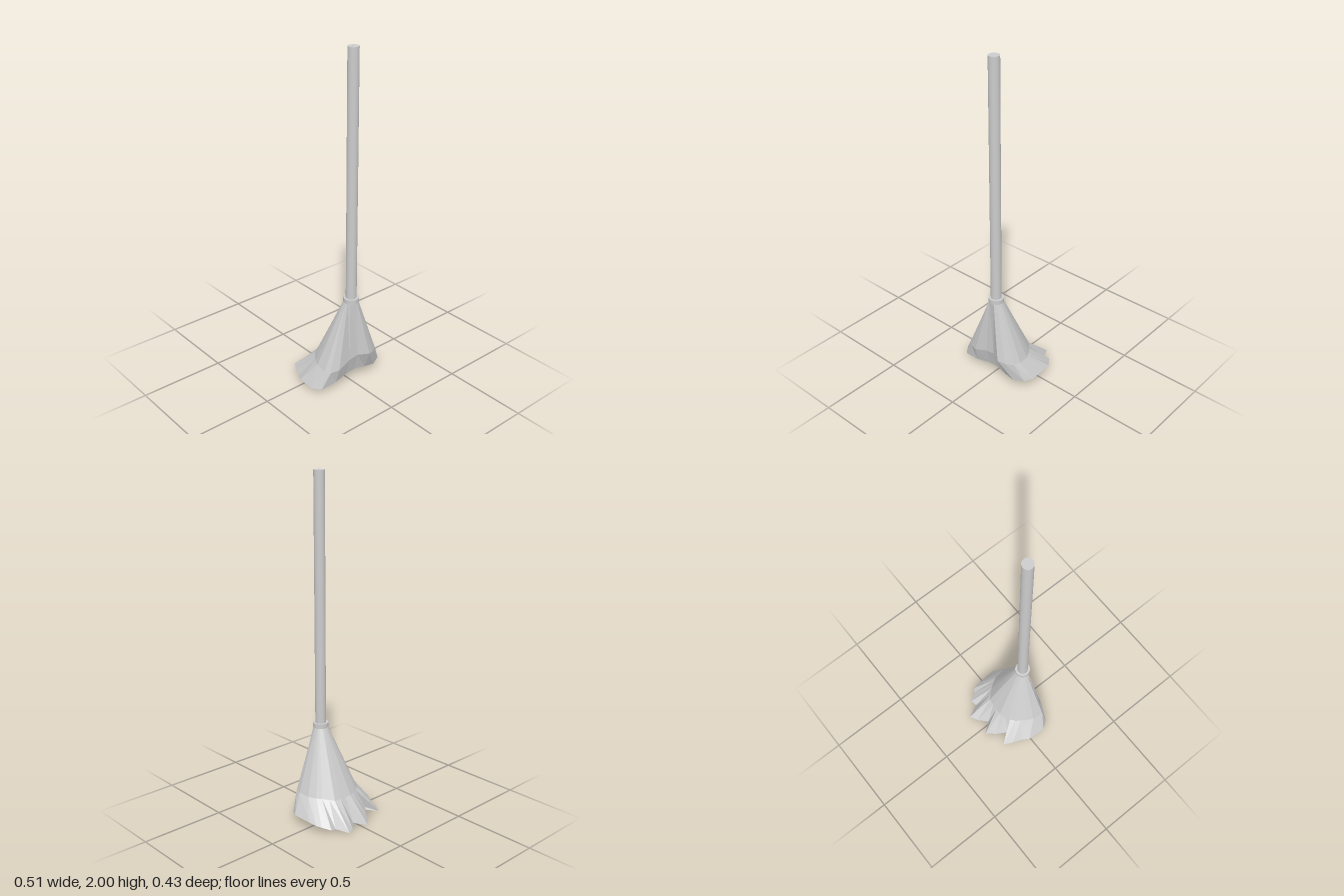
import * as THREE from 'three';

const X = 0.014, Z = 0.134; // axis of the handle

// Each strand fold: [mid x, y, z, hem x, y, z], clockwise seen from above
const FOLDS = [
  [-0.19, 0.14, 0.14, -0.257, 0.035, 0.1],
  [-0.185, 0.15, 0.07, -0.25, 0.035, -0.01],
  [-0.165, 0.15, 0.03, -0.222, 0.03, -0.055],
  [-0.145, 0.15, 0.0, -0.2, 0.03, -0.115],
  [-0.122, 0.15, -0.03, -0.172, 0.03, -0.165],
  [-0.095, 0.15, -0.05, -0.132, 0.04, -0.09],
  [-0.06, 0.15, -0.065, -0.085, 0.015, -0.155],
  [-0.025, 0.15, -0.078, -0.036, 0.005, -0.208],
  [0.014, 0.15, -0.075, 0.014, 0.01, -0.143],
  [0.05, 0.15, -0.073, 0.067, 0.01, -0.193],
  [0.09, 0.15, -0.068, 0.115, 0.012, -0.216],
  [0.112, 0.155, -0.045, 0.15, 0.02, -0.138],
  [0.14, 0.16, -0.015, 0.19, 0.03, -0.147],
  [0.16, 0.16, 0.012, 0.222, 0.04, -0.1],
  [0.172, 0.16, 0.035, 0.243, 0.05, -0.077],
  [0.183, 0.16, 0.058, 0.252, 0.055, -0.03],
  [0.19, 0.165, 0.125, 0.257, 0.06, 0.09],
  [0.178, 0.165, 0.165, 0.232, 0.055, 0.135],
  [0.135, 0.17, 0.195, 0.17, 0.05, 0.165],
  [0.092, 0.18, 0.213, 0.1, 0.06, 0.16],
  [0.03, 0.18, 0.178, 0.03, 0.07, 0.15],
  [-0.03, 0.17, 0.175, -0.03, 0.065, 0.15],
  [-0.115, 0.14, 0.183, -0.12, 0.05, 0.16],
].concat([[-0.165, 0.13, 0.163, -0.22, 0.035, 0.15]]);

function skirtGeometry() {
  const n = FOLDS.length, pos = [], index = [];
  // Rings: collar, mid, hem
  for (const [mx, my, mz] of FOLDS) {
    const a = Math.atan2(mz - Z, mx - X);
    pos.push(X + 0.04 * Math.cos(a), 0.535, Z + 0.04 * Math.sin(a));
  }
  for (const f of FOLDS) pos.push(f[0], f[1], f[2]);
  for (const f of FOLDS) pos.push(f[3], f[4], f[5]);
  pos.push(0, 0.04, 0.04); // centre of the underside
  for (let i = 0; i < n; i++) {
    const j = (i + 1) % n;
    for (const r of [0, n]) {
      index.push(r + i, r + j, r + n + i, r + j, r + n + j, r + n + i);
    }
    index.push(2 * n + i, 2 * n + j, 3 * n);
  }
  const g = new THREE.BufferGeometry();
  g.setAttribute('position', new THREE.Float32BufferAttribute(pos, 3));
  g.setIndex(index);
  const flat = g.toNonIndexed();
  flat.computeVertexNormals();
  return flat;
}

export function createModel() {
  const group = new THREE.Group();
  const smooth = new THREE.MeshStandardMaterial({ color: 0xcccccc });
  const faceted = new THREE.MeshStandardMaterial({
    color: 0xcccccc, flatShading: true, side: THREE.DoubleSide,
  });
  const add = (name, geometry, material, y = 0) => {
    const mesh = new THREE.Mesh(geometry, material);
    mesh.name = name;
    mesh.position.y = y;
    group.add(mesh);
    return mesh;
  };

  // Long round handle
  add('handle', new THREE.CylinderGeometry(0.031, 0.031, 1.47, 32), smooth, 1.265)
    .position.set(X, 1.265, Z);

  // Collar where handle meets the head
  add('collar', new THREE.CylinderGeometry(0.045, 0.045, 0.027, 32), smooth)
    .position.set(X, 0.544, Z);

  // Flared, pleated head with a ragged hem
  add('mopHead', skirtGeometry(), faceted);

  return group;
}
